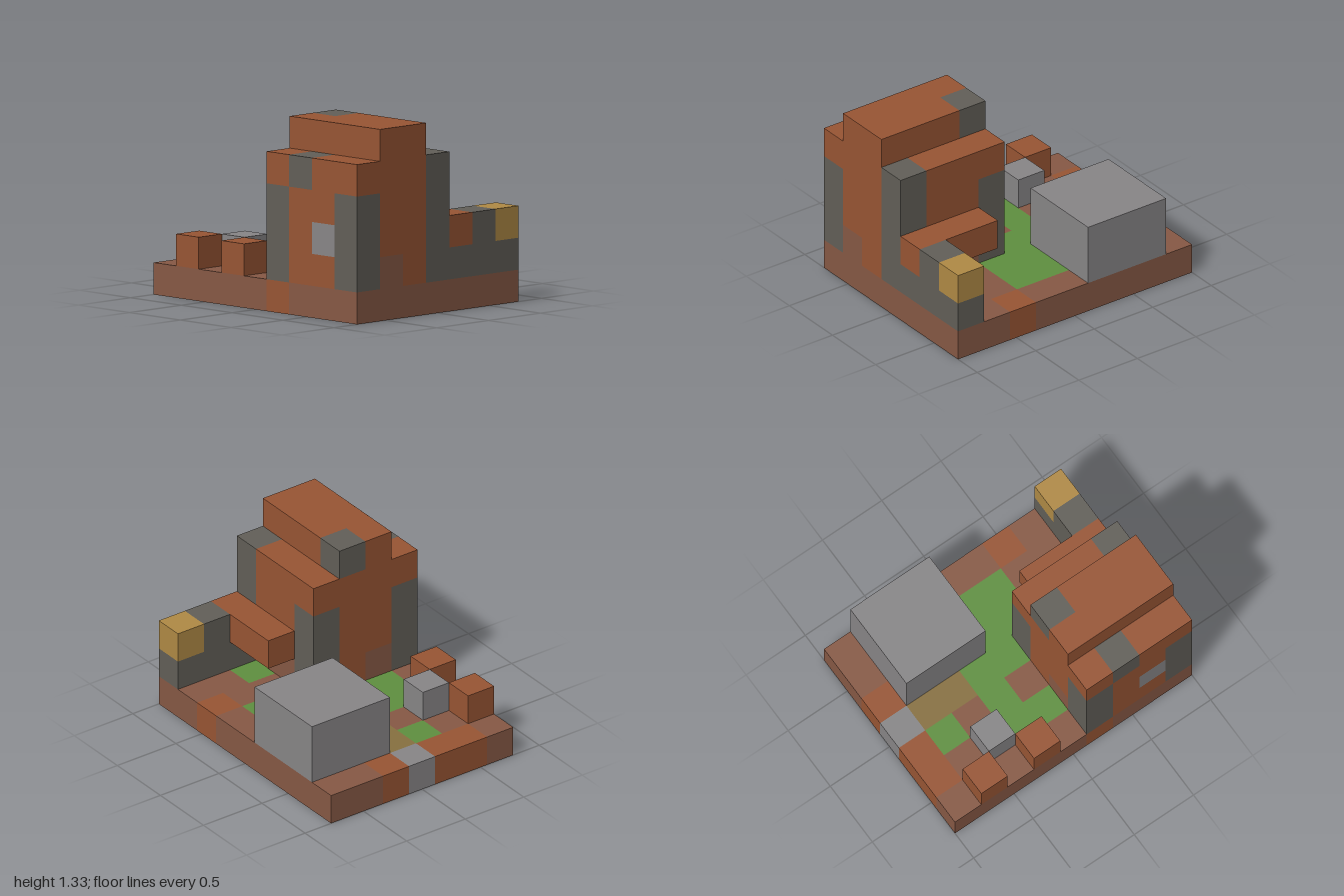
import * as THREE from 'three';

const U = 2 / 9; // edge of one cube
const NX = 7, NZ = 9;

const palette = {
  B: ['packedEarth', 0x875945],
  R: ['rustBrick', 0x985534],
  S: ['darkStone', 0x625f58],
  G: ['lightStone', 0x888687],
  g: ['grass', 0x5f9040],
  O: ['dryGrass', 0x877040],
  Y: ['goldBlock', 0xb08a45],
};

// Each layer runs bottom to top; rows go back to front, letters go from -x to +x.
const E = '.......';
const boulderRow = '....GGG';
const layers = [
  ['BRRGRBB', 'BBgOgBB', 'BBBOggB', 'BgggggB', 'BgBgggB', 'RBgBggB', 'BBggBBR', 'BgBggBB', 'BBBBBBB'],
  [E, 'R...GGG', '.G..GGG', 'R...GGG', E, 'SBRS...', 'RRRB...', 'RRRB...', 'SBRSSSS'],
  [E, boulderRow, boulderRow, boulderRow, E, 'SRRS...', 'RRRRR..', 'GRRRR..', 'SRRSRSY'],
  [E, E, E, E, E, 'SRRS...', 'RRRR...', 'RRRR...', 'SRRS...'],
  [E, E, E, E, E, 'RRRR...', 'SRRR...', 'RRRR...', 'RRRS...'],
  [E, E, E, E, E, '.RS....', '.RR....', '.RR....', '.RR....'],
];

const cell = (x, y, z) => layers[y]?.[z]?.[x] ?? '.';

// Which part of the ruin a cube belongs to
function partOf(x, y, z) {
  if (y === 0) return 'groundSlab';
  if (z < 4) return x > 3 ? 'boulder' : 'rubble';
  return x > 3 ? 'lowWall' : 'tower';
}

// Outward direction and the two in-plane axes (u cross v = n)
const sides = [
  [[1, 0, 0], [0, 1, 0], [0, 0, 1]], [[-1, 0, 0], [0, 0, 1], [0, 1, 0]],
  [[0, 1, 0], [0, 0, 1], [1, 0, 0]], [[0, -1, 0], [1, 0, 0], [0, 0, 1]],
  [[0, 0, 1], [1, 0, 0], [0, 1, 0]], [[0, 0, -1], [0, 1, 0], [1, 0, 0]],
];

// Append one square face of a cube as two triangles
function addFace(buf, [x, y, z], [n, u, v]) {
  const c = [x - NX / 2 + 0.5, y + 0.5, z - NZ / 2 + 0.5];
  for (const [a, b] of [[-1, -1], [1, -1], [1, 1], [-1, -1], [1, 1], [-1, 1]]) {
    for (let k = 0; k < 3; k++) buf.pos.push((c[k] + (n[k] + a * u[k] + b * v[k]) / 2) * U);
    buf.nor.push(...n);
  }
}

export function createModel() {
  const model = new THREE.Group();
  model.name = 'ruinedTower';

  const materials = {};
  for (const [key, [name, color]] of Object.entries(palette)) {
    materials[key] = new THREE.MeshStandardMaterial({ color });
    materials[key].name = name;
  }

  // Collect the exposed cube faces by part and colour
  const parts = {};
  for (let y = 0; y < layers.length; y++)
    for (let z = 0; z < NZ; z++)
      for (let x = 0; x < NX; x++) {
        const key = cell(x, y, z);
        if (key === '.') continue;
        const part = (parts[partOf(x, y, z)] ??= {});
        const buf = (part[key] ??= { pos: [], nor: [] });
        for (const side of sides) {
          const [dx, dy, dz] = side[0];
          if (cell(x + dx, y + dy, z + dz) === '.') addFace(buf, [x, y, z], side);
        }
      }

  // One group per part, one mesh per colour in it
  for (const [partName, colours] of Object.entries(parts)) {
    const group = new THREE.Group();
    group.name = partName;
    for (const [key, { pos, nor }] of Object.entries(colours)) {
      if (!pos.length) continue;
      const geo = new THREE.BufferGeometry();
      geo.setAttribute('position', new THREE.Float32BufferAttribute(pos, 3));
      geo.setAttribute('normal', new THREE.Float32BufferAttribute(nor, 3));
      const mesh = new THREE.Mesh(geo, materials[key]);
      mesh.name = `${partName} ${palette[key][0]}`;
      group.add(mesh);
    }
    model.add(group);
  }
  return model;
}
